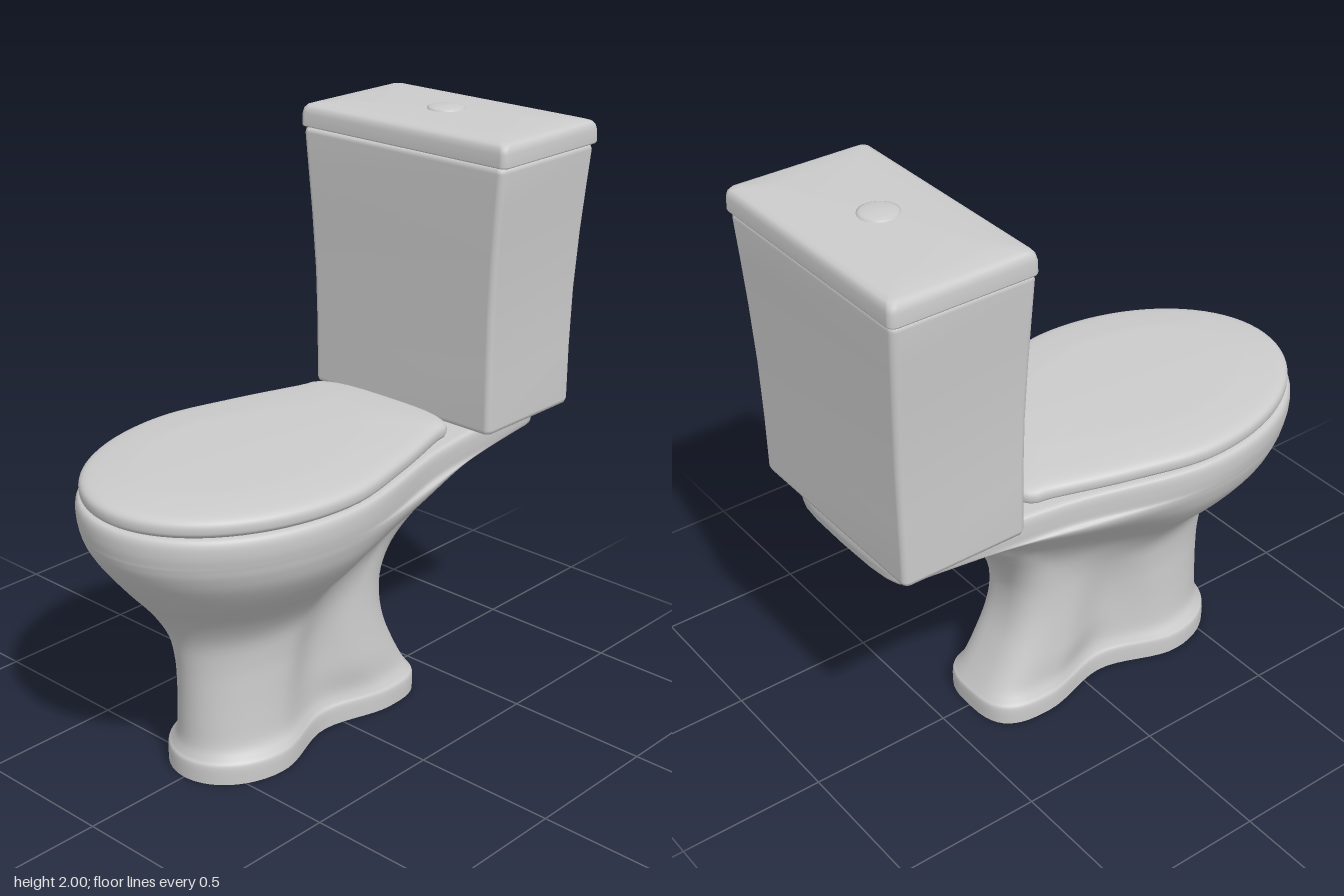
import * as THREE from 'three';

const mat = new THREE.MeshStandardMaterial({ color: 0xcccccc, side: THREE.DoubleSide });

// Smoothly resample a table of rows (Catmull-Rom on every column)
function refine(rows, steps) {
  const out = [];
  const last = rows.length - 1;
  for (let i = 0; i < last; i++) {
    const [a, b, c, d] = [i - 1, i, i + 1, i + 2].map(k => rows[Math.min(last, Math.max(0, k))]);
    for (let s = 0; s < steps; s++) {
      const t = s / steps;
      out.push(b.map((v, k) => {
        const c1 = c[k] - a[k];
        const c2 = 2 * a[k] - 5 * v + 4 * c[k] - d[k];
        const c3 = 3 * (v - c[k]) + d[k] - a[k];
        return v + 0.5 * t * (c1 + t * (c2 + t * c3));
      }));
    }
  }
  out.push(rows[last]);
  return out;
}

// Egg / hourglass outline: zf and zb are the ends; F, M, B the half widths at the
// front lobe, waist and back; f and r the lengths of the front and back rounding
function lobedRing([y, zf, zb, F, M, B, f, r]) {
  const N = 40, half = [];
  const z1 = zf - f, z2 = zb + r;
  const slopeM = (B - F) / 2, slopeB = Math.min(0, B - M);
  for (let i = 0; i <= N; i++) {
    const z = zf + (zb - zf) * (1 - Math.cos(Math.PI * i / N)) / 2;
    let w;
    if (z > z1) {
      w = F * Math.sqrt(Math.max(0, 1 - ((z - z1) / f) ** 2));
    } else if (z < z2) {
      w = B * Math.cbrt(Math.max(0, 1 - ((z2 - z) / r) ** 3));
    } else {
      const p = 2 * (z1 - z) / (z1 - z2);
      const t = p < 1 ? p : p - 1;
      const [a, b, sa, sb] = p < 1 ? [F, M, 0, slopeM] : [M, B, slopeM, slopeB];
      w = a + (b - a) * t * t * (3 - 2 * t) + sa * t * (1 - t) ** 2 + sb * t * t * (t - 1);
    }
    half.push([w, y, z]);
  }
  half[0][0] = half[N][0] = 0;
  const mirrored = half.slice(1, N).reverse().map(([x, yy, z]) => [-x, yy, z]);
  return half.concat(mirrored);
}

// Rectangle with rounded corners
function boxRing([y, hx, zf, zb, r]) {
  const pts = [];
  const corners = [[1, zf - r, 0], [1, zb + r, 1], [-1, zb + r, 2], [-1, zf - r, 3]];
  for (const [sx, cz, q] of corners) {
    for (let i = 0; i <= 5; i++) {
      const a = (q + i / 5) * Math.PI / 2;
      pts.push([sx * (hx - r) + r * Math.sin(a), y, cz + r * Math.cos(a)]);
    }
  }
  return pts;
}

// Skin a stack of rings, with optional centre points [y, z] closing bottom and top
function loft(name, rings, bottom, top) {
  const n = rings[0].length, pos = rings.flat(2), idx = [];
  for (let i = 0; i < rings.length - 1; i++) {
    for (let j = 0; j < n; j++) {
      const a = i * n + j, b = i * n + (j + 1) % n;
      idx.push(a, b, b + n, a, b + n, a + n);
    }
  }
  const cap = (centre, start, up) => {
    const c = pos.length / 3;
    pos.push(0, centre[0], centre[1]);
    for (let j = 0; j < n; j++) {
      const a = start + j, b = start + (j + 1) % n;
      idx.push(c, ...(up ? [a, b] : [b, a]));
    }
  };
  if (bottom) cap(bottom, 0, false);
  if (top) cap(top, (rings.length - 1) * n, true);
  const g = new THREE.BufferGeometry();
  g.setAttribute('position', new THREE.Float32BufferAttribute(pos, 3));
  g.setIndex(idx);
  g.computeVertexNormals();
  const mesh = new THREE.Mesh(g, mat);
  mesh.name = name;
  return mesh;
}

export function createModel() {
  const group = new THREE.Group();
  group.name = 'toilet';

  // Pedestal, bowl and tank shelf in one hollow skin, open at the floor
  const bowl = [
    [0.00, 0.61, -0.39, 0.21, 0.13, 0.19, 0.25, 0.2],
    [0.06, 0.61, -0.39, 0.21, 0.13, 0.19, 0.25, 0.2],
    [0.08, 0.60, -0.38, 0.20, 0.12, 0.18, 0.25, 0.2],
    [0.12, 0.588, -0.355, 0.178, 0.11, 0.165, 0.25, 0.2],
    [0.20, 0.587, -0.31, 0.17, 0.11, 0.16, 0.26, 0.2],
    [0.30, 0.59, -0.265, 0.166, 0.11, 0.15, 0.28, 0.18],
    [0.40, 0.60, -0.245, 0.166, 0.12, 0.142, 0.31, 0.17],
    [0.50, 0.625, -0.253, 0.183, 0.145, 0.14, 0.35, 0.16],
    [0.60, 0.685, -0.30, 0.25, 0.19, 0.15, 0.41, 0.15],
    [0.70, 0.77, -0.38, 0.347, 0.265, 0.185, 0.49, 0.14],
    [0.79, 0.84, -0.47, 0.415, 0.34, 0.235, 0.55, 0.12],
    [0.85, 0.877, -0.55, 0.441, 0.378, 0.265, 0.585, 0.1],
    [0.885, 0.89, -0.67, 0.45, 0.376, 0.272, 0.6, 0.08],
    [0.90, 0.893, -0.82, 0.453, 0.345, 0.28, 0.6, 0.055],
    [0.93, 0.898, -0.842, 0.457, 0.343, 0.285, 0.6, 0.055],
    [0.965, 0.898, -0.842, 0.457, 0.343, 0.285, 0.6, 0.055],
    [0.985, 0.89, -0.835, 0.45, 0.337, 0.28, 0.6, 0.055],
    [0.99, 0.875, -0.82, 0.435, 0.322, 0.265, 0.59, 0.055],
  ];
  group.add(loft('bowl', refine(bowl, 4).map(lobedRing), null, [0.99, 0.1]));

  // Closed seat lid with a rolled edge and a domed top: [y, inset]
  const seat = [[0.99, 0.015], [1.0, 0.003], [1.012, 0], [1.026, 0], [1.038, 0.005],
    [1.047, 0.018], [1.053, 0.045], [1.059, 0.1], [1.066, 0.18]];
  const seatRows = seat.map(([y, d]) =>
    [y, 0.887 - d, -0.383 + d, 0.445 - d, 0.388 - d, 0.302 - d, 0.6 - d, 0.1]);
  group.add(loft('seatLid', refine(seatRows, 2).map(lobedRing), [0.99, 0.2], [1.07, 0.22]));

  // Tank flaring towards the top
  const tank = [
    [0.99, 0.37, -0.443, -0.85, 0.015],
    [0.994, 0.384, -0.43, -0.862, 0.02],
    [1.008, 0.389, -0.426, -0.867, 0.022],
    [1.2, 0.388, -0.423, -0.868, 0.022],
    [1.4, 0.391, -0.418, -0.871, 0.022],
    [1.6, 0.402, -0.411, -0.876, 0.022],
    [1.75, 0.414, -0.406, -0.881, 0.022],
    [1.88, 0.425, -0.402, -0.886, 0.022],
    [1.893, 0.421, -0.405, -0.882, 0.02],
    [1.898, 0.41, -0.416, -0.87, 0.015],
  ];
  group.add(loft('tank', tank.map(boxRing), [0.99, -0.64], [1.898, -0.64]));

  // Tank lid: [y, inset]
  const lid = [[1.9, 0.012], [1.901, 0.002], [1.906, 0], [1.945, 0.001], [1.962, 0.005],
    [1.972, 0.013], [1.978, 0.03], [1.985, 0.1]];
  const lidRows = lid.map(([y, d]) => [y, 0.437 - d, -0.398 - d, -0.896 + d, 0.024]);
  group.add(loft('tankLid', lidRows.map(boxRing), [1.9, -0.64], [1.99, -0.64]));

  // Domed flush button
  const dome = [[0.065, 1.98], [0.064, 1.991], [0.055, 1.995], [0.03, 1.999], [0, 2]];
  const button = new THREE.Mesh(
    new THREE.LatheGeometry(dome.map(p => new THREE.Vector2(...p)), 40), mat);
  button.name = 'flushButton';
  button.position.z = -0.64;
  group.add(button);

  return group;
}
